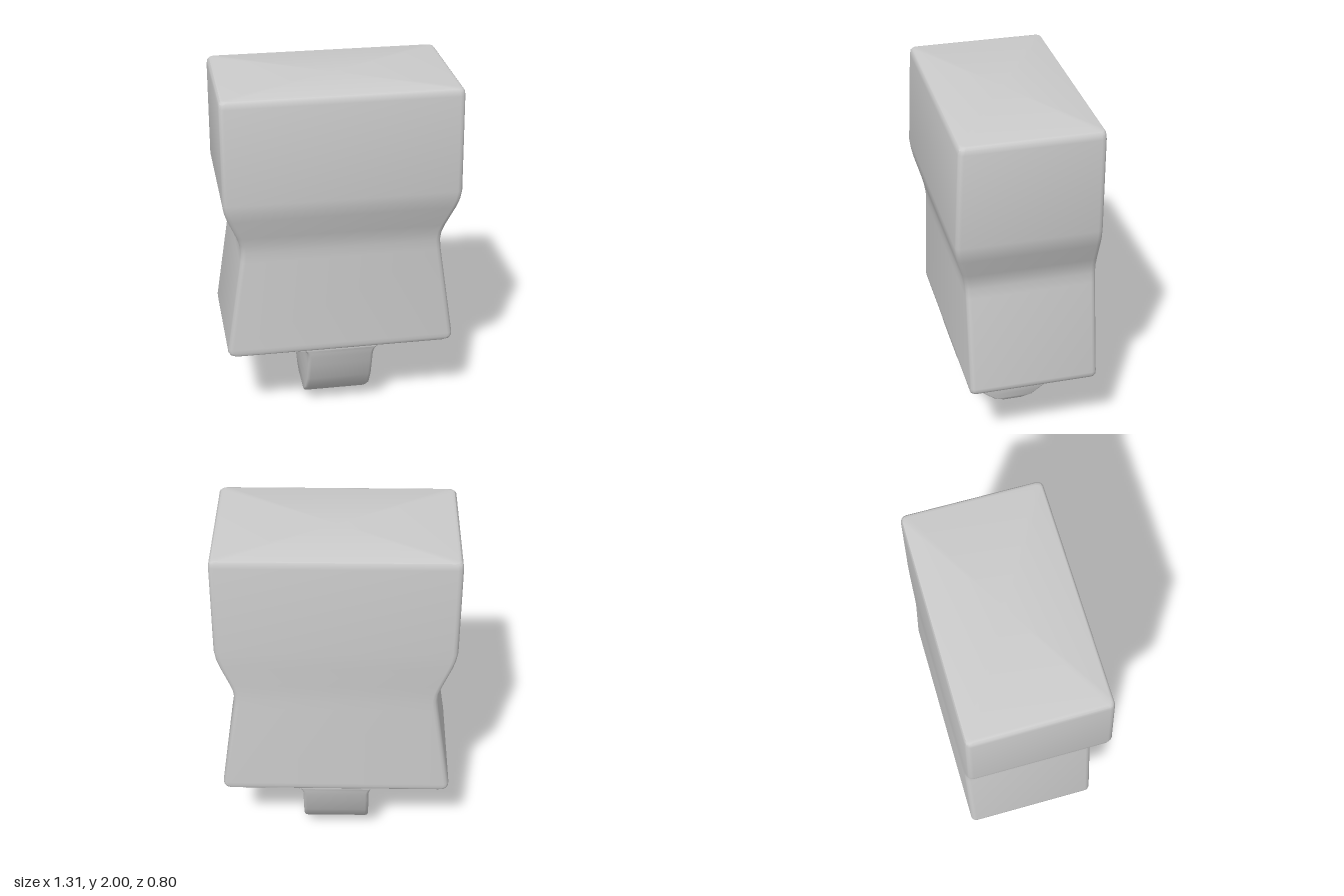
import * as THREE from 'three';
import { toCreasedNormals } from 'three/addons/utils/BufferGeometryUtils.js';

// Horizontal sections from bottom to top: y, half width, front z, back z, corner radius
const SECTIONS = [
  // Rounded tab
  [0.005, 0.16, 0.0, -0.06, 0.01],
  [0.018, 0.18, 0.04, -0.105, 0.02],
  [0.036, 0.188, 0.085, -0.155, 0.02],
  [0.07, 0.19, 0.13, -0.2, 0.02],
  [0.115, 0.19, 0.185, -0.26, 0.02],
  [0.215, 0.19, 0.25, -0.32, 0.02],
  [0.33, 0.19, 0.288, -0.362, 0.02],
  [0.39, 0.19, 0.308, -0.382, 0.02],
  // Fillet into the underside
  [0.42, 0.197, 0.315, -0.388, 0.02],
  [0.438, 0.21, 0.317, -0.39, 0.02],
  [0.446, 0.235, 0.317, -0.39, 0.02],
  // Flared lower body
  [0.448, 0.62, 0.317, -0.39, 0.03],
  [0.456, 0.638, 0.324, -0.397, 0.03],
  [0.472, 0.647, 0.327, -0.4, 0.03],
  [0.492, 0.648, 0.327, -0.4, 0.03],
  [1.04, 0.565, 0.327, -0.4, 0.03],
  // Waist and shoulder
  [1.1, 0.56, 0.329, -0.4, 0.03],
  [1.15, 0.566, 0.336, -0.4, 0.03],
  [1.2, 0.583, 0.348, -0.4, 0.03],
  [1.32, 0.632, 0.384, -0.4, 0.03],
  [1.37, 0.648, 0.394, -0.4, 0.03],
  [1.42, 0.656, 0.4, -0.4, 0.03],
  // Upper block
  [1.96, 0.656, 0.377, -0.4, 0.03],
  [1.985, 0.652, 0.373, -0.397, 0.03],
  [1.997, 0.642, 0.365, -0.392, 0.03],
  [2.0, 0.628, 0.357, -0.384, 0.03],
];
const CORNER_STEPS = 3;

// Loft of rounded rectangles, capped at both ends
function loft(sections) {
  const pos = [], index = [];
  const n = 4 * (CORNER_STEPS + 1);
  for (const [y, hw, front, back, r] of sections) {
    for (let c = 0; c < 4; c++) {
      const cx = (c === 0 || c === 3 ? 1 : -1) * (hw - r);
      const cz = c < 2 ? front - r : back + r;
      for (let s = 0; s <= CORNER_STEPS; s++) {
        const a = (c + s / CORNER_STEPS) * Math.PI / 2;
        pos.push(cx + r * Math.cos(a), y, cz + r * Math.sin(a));
      }
    }
  }
  for (let i = 0; i < sections.length - 1; i++) {
    for (let k = 0; k < n; k++) {
      const a = i * n + k, b = i * n + (k + 1) % n;
      index.push(a, a + n, b, b, a + n, b + n);
    }
  }
  // Fan caps
  const last = sections.length - 1;
  for (const i of [0, last]) {
    const [y, , front, back] = sections[i];
    const centre = pos.length / 3;
    pos.push(0, i === 0 ? 0 : y, (front + back) / 2);
    for (let k = 0; k < n; k++) {
      const a = i * n + k, b = i * n + (k + 1) % n;
      if (i === 0) index.push(centre, a, b);
      else index.push(centre, b, a);
    }
  }
  const g = new THREE.BufferGeometry();
  g.setAttribute('position', new THREE.Float32BufferAttribute(pos, 3));
  g.setIndex(index);
  return toCreasedNormals(g, 0.65);
}

export function createModel() {
  const group = new THREE.Group();
  group.name = 'taperedBlock';
  const body = new THREE.Mesh(loft(SECTIONS), new THREE.MeshStandardMaterial({ color: 0xcccccc }));
  body.name = 'bodyWithTab';
  group.add(body);
  return group;
}
